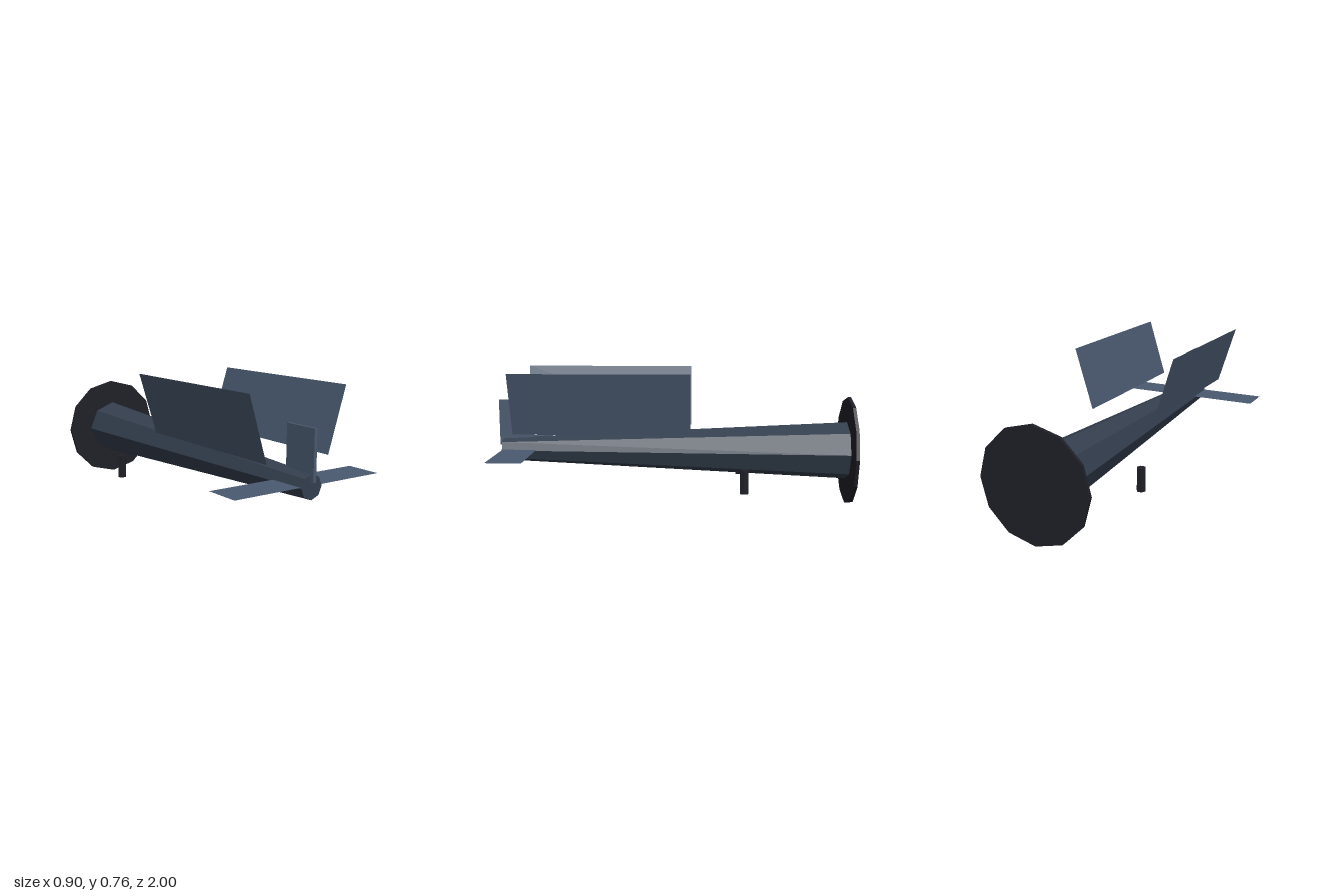
import * as THREE from 'three';

const hullGrey = new THREE.MeshStandardMaterial({ color: 0x343f4f, flatShading: true });
hullGrey.name = 'dark slate';
const wingGrey = new THREE.MeshStandardMaterial({ color: 0x4a5a70, flatShading: true, side: THREE.DoubleSide });
wingGrey.name = 'light slate';
const darkMetal = new THREE.MeshStandardMaterial({ color: 0x1f1f28, flatShading: true });
darkMetal.name = 'near black';

const AXIS_Y = 0.305; // height of the fuselage axis

export function createModel() {
  const model = new THREE.Group();
  model.name = 'aircraft';

  const add = (name, geometry, material, x, y, z) => {
    const mesh = new THREE.Mesh(geometry, material);
    mesh.name = name;
    mesh.position.set(x, y, z);
    model.add(mesh);
    return mesh;
  };

  // Eight-sided tapering fuselage, narrow at the front
  add('fuselage', new THREE.CylinderGeometry(0.064, 0.163, 1.97, 8).rotateX(Math.PI / 2),
    hullGrey, 0, AXIS_Y, -0.005);

  // Twelve-sided disc closing the wide end
  add('rotorDisc', new THREE.CylinderGeometry(0.305, 0.305, 0.018, 12).rotateX(Math.PI / 2),
    darkMetal, 0, AXIS_Y, -0.991);

  // Upright fin and flat tailplane
  add('fin', new THREE.BoxGeometry(0.017, 0.26, 0.195), wingGrey, 0, 0.46, 0.902);
  add('tailplane', new THREE.PlaneGeometry(0.905, 0.194).rotateX(-Math.PI / 2),
    wingGrey, 0, 0.31, 0.878);

  // Mirrored panels leaning outward, and small hexagonal posts
  for (const [label, side] of [['left', 1], ['right', -1]]) {
    const panel = add(label + 'Panel', new THREE.PlaneGeometry(0.98, 0.358).rotateY(side * Math.PI / 2),
      wingGrey, side * 0.249, 0.59, 0.392);
    panel.rotation.z = -side * 0.3;

    add(label + 'Post', new THREE.CylinderGeometry(0.026, 0.026, 0.13, 6).rotateY(Math.PI / 6),
      darkMetal, side * 0.26, 0.176, -0.39);
  }

  return model;
}
